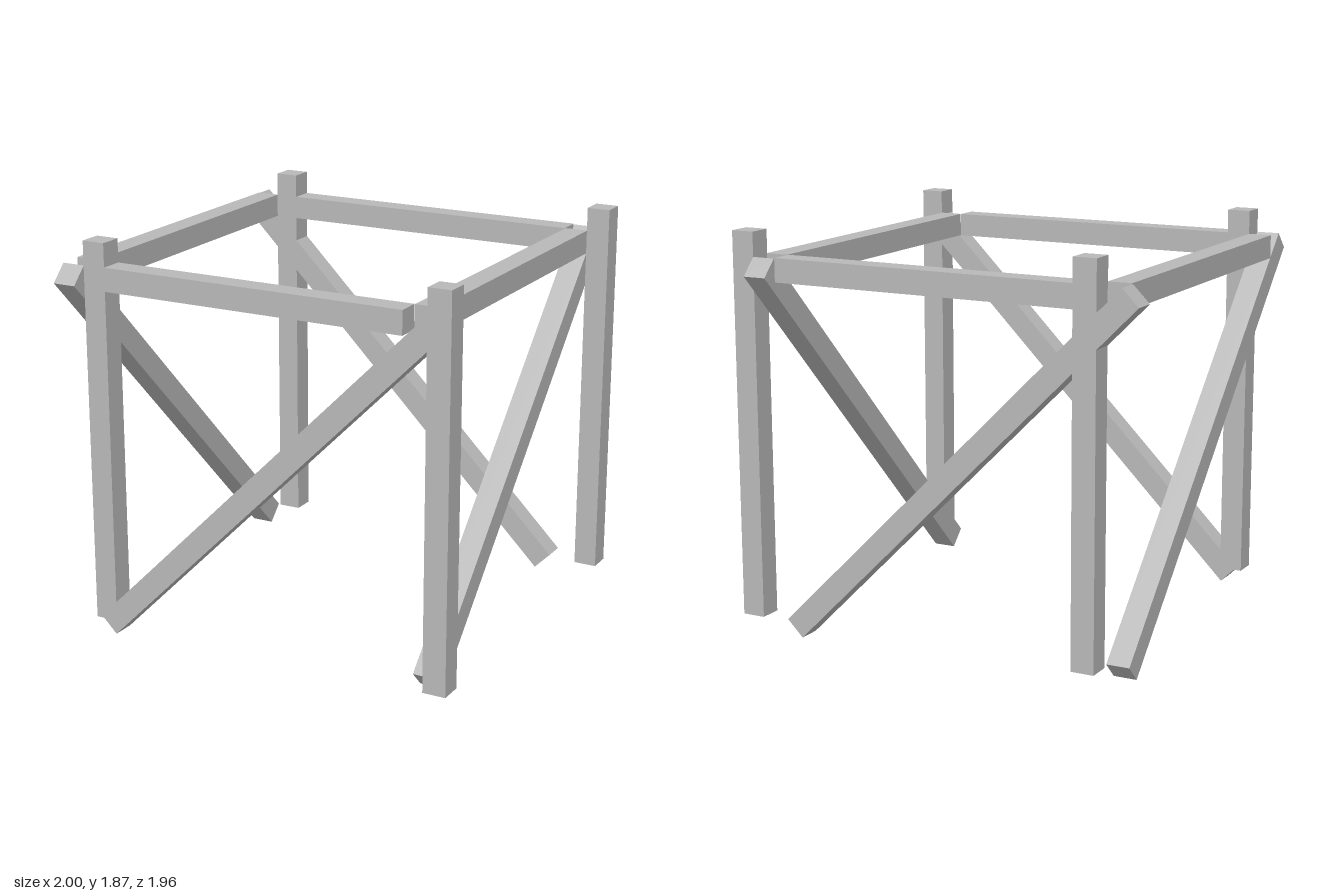
import * as THREE from 'three';

const W = 0.11;            // square timber thickness
const BRACE = 2.26 + 0.11; // diagonal length
const TILT = Math.PI / 4;

export function createModel() {
  const model = new THREE.Group();
  const grey = new THREE.MeshStandardMaterial({ color: 0xb8b8b8 });
  grey.name = 'grey';

  const beam = (name, size, pos) => {
    const mesh = new THREE.Mesh(new THREE.BoxGeometry(...size), grey);
    mesh.name = name;
    mesh.position.set(...pos);
    model.add(mesh);
    return mesh;
  };

  // front (+1) and back (-1) frames: two posts, a top rail and a diagonal
  for (const s of [1, -1]) {
    const side = s > 0 ? 'front' : 'back';
    const z = s * 0.847;
    beam(side + 'LeftPost', [W, 1.8, W], [0.943, 0.97, z]);
    beam(side + 'RightPost', [W, 1.8, W], [-0.755, 0.97, z]);
    beam(side + 'Rail', [1.475, W, W], [0.0375, 1.705, z]);
    beam(side + 'Brace', [BRACE, W, W], [-0.015 + s * 0.109, 0.88, z]).rotation.z = s * TILT;
  }

  // side frames sit beside the posts: a top rail and a diagonal each
  for (const s of [1, -1]) {
    const side = s > 0 ? 'left' : 'right';
    const x = s > 0 ? 0.833 : -0.865;
    beam(side + 'Rail', [W, W, 1.59], [x, 1.705, 0]);
    beam(side + 'Brace', [W, W, BRACE], [x, 0.88, -s * 0.102]).rotation.x = s * TILT;
  }

  return model;
}
